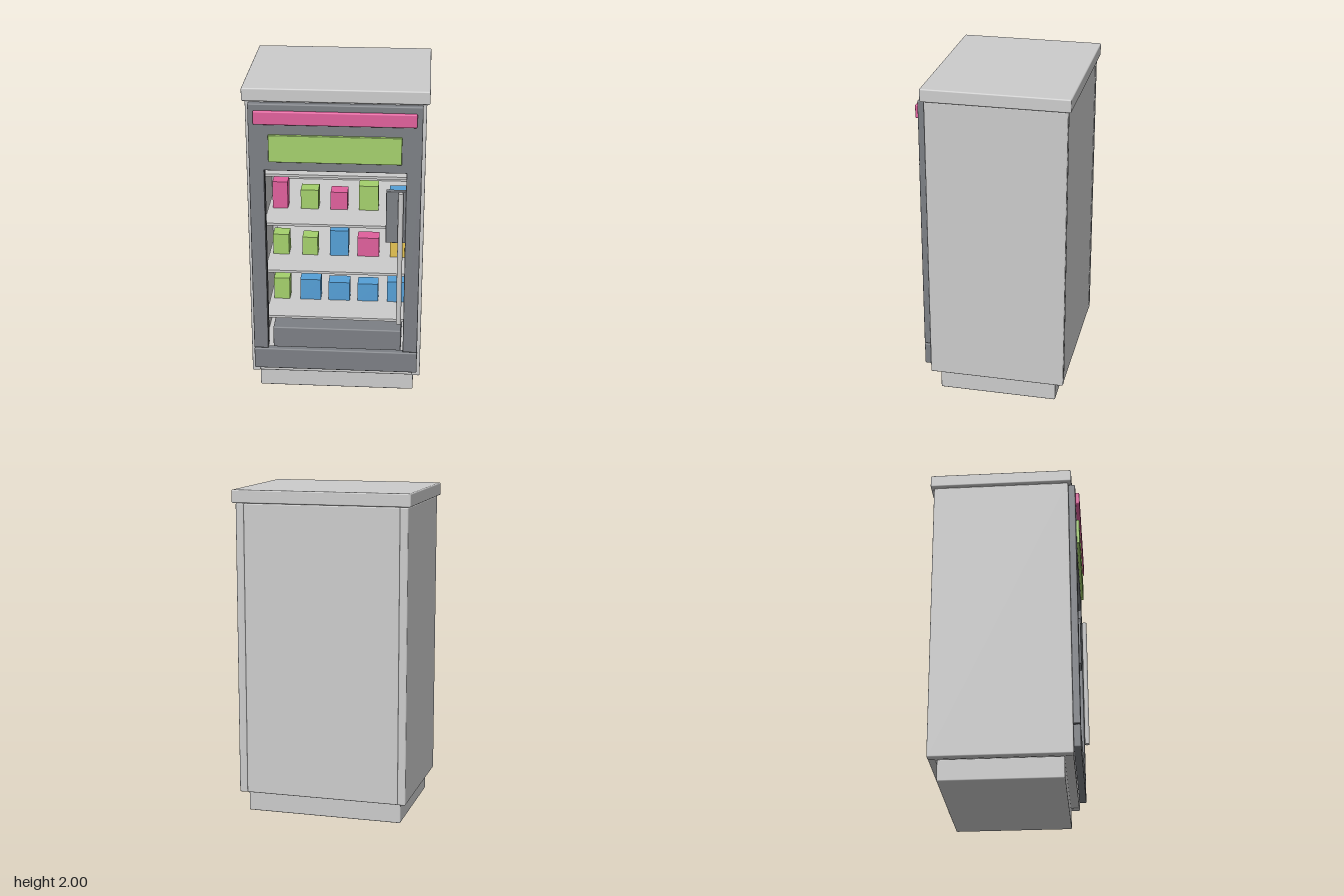
import * as THREE from 'three';
import { RoundedBoxGeometry } from 'three/addons/geometries/RoundedBoxGeometry.js';

const material = (color) => new THREE.MeshStandardMaterial({ color });
const mats = {
  grey: material(0xcccccc),
  dark: material(0x7c7f84),
  pink: material(0xe0609c),
  green: material(0xa4d06c),
  blue: material(0x559fd6),
  yellow: material(0xe6c452),
};

// Box given by its extents on each axis; a bevel above zero rounds the edges.
function block(parent, name, mat, [x0, x1], [y0, y1], [z0, z1], bevel = 0) {
  const size = [x1 - x0, y1 - y0, z1 - z0];
  const geometry = bevel
    ? new RoundedBoxGeometry(...size, 2, bevel)
    : new THREE.BoxGeometry(...size);
  const mesh = new THREE.Mesh(geometry, mats[mat]);
  mesh.name = name;
  mesh.position.set((x0 + x1) / 2, (y0 + y1) / 2, (z0 + z1) / 2);
  parent.add(mesh);
  return mesh;
}

function subgroup(parent, name) {
  const group = new THREE.Group();
  group.name = name;
  parent.add(group);
  return group;
}

export function createModel() {
  const model = new THREE.Group();
  model.name = 'displayFridge';
  const B = 0.008;

  // Cabinet shell
  const cabinet = subgroup(model, 'cabinet');
  block(cabinet, 'plinth', 'grey', [-0.483, 0.483], [0, 0.132], [-0.39, 0.34], B);
  block(cabinet, 'top', 'grey', [-0.543, 0.543], [1.921, 2], [-0.465, 0.412], B);
  block(cabinet, 'rightSide', 'grey', [-0.525, -0.475], [0.132, 1.919], [-0.445, 0.393], B);
  block(cabinet, 'leftSide', 'grey', [0.475, 0.525], [0.132, 1.919], [-0.445, 0.393], B);
  block(cabinet, 'back', 'grey', [-0.477, 0.477], [0.132, 1.919], [-0.443, -0.4], B);
  block(cabinet, 'floor', 'grey', [-0.477, 0.477], [0.134, 0.18], [-0.41, 0.39], B);
  block(cabinet, 'ceiling', 'grey', [-0.477, 0.477], [1.87, 1.921], [-0.41, 0.39]);
  block(cabinet, 'coolingUnit', 'dark', [-0.4, 0.4], [0.18, 0.4], [-0.39, 0.31], B);

  // Front frame around the opening
  const front = subgroup(model, 'frontFrame');
  const Z = [0.391, 0.435];
  block(front, 'kickPanel', 'dark', [-0.505, 0.505], [0.176, 0.315], Z, B);
  block(front, 'header', 'dark', [-0.505, 0.505], [1.505, 1.915], Z, B);
  for (const side of [-1, 1]) {
    const span = (a, b) => [Math.min(side * a, side * b), Math.max(side * a, side * b)];
    block(front, 'stile', 'dark', span(0.416, 0.505), [0.32, 1.53], Z, 0.005);
    block(front, 'stileLiner', 'dark', span(0.418, 0.474), [0.32, 1.53], [0.355, 0.4]);
  }
  block(front, 'lightBar', 'pink', [-0.473, 0.473], [1.795, 1.877], [0.434, 0.459], B);
  block(front, 'signPanel', 'green', [-0.388, 0.388], [1.565, 1.73], [0.43, 0.453], 0.004);

  // Handle bar and its backing plate
  block(front, 'handlePlate', 'dark', [0.3, 0.418], [1.06, 1.39], [0.395, 0.43], 0.004);
  const handle = new THREE.Mesh(new THREE.CylinderGeometry(0.0155, 0.0155, 0.86, 12), mats.grey);
  handle.name = 'handle';
  handle.position.set(0.387, 0.96, 0.452);
  front.add(handle);

  // Shelves with goods: [colour, width, height] from right to left
  const rows = [
    [0.49, [['green', 0.1, 0.145], ['blue', 0.13, 0.14], ['blue', 0.135, 0.125], ['blue', 0.13, 0.12], ['blue', 0.12, 0.14]]],
    [0.805, [['green', 0.1, 0.135], ['green', 0.096, 0.12], ['blue', 0.115, 0.17], ['pink', 0.135, 0.125], ['yellow', 0.092, 0.14]]],
    [1.12, [['pink', 0.094, 0.175], ['green', 0.11, 0.125], ['pink', 0.105, 0.115], ['green', 0.12, 0.16], ['blue', 0.11, 0.13]]],
    [1.44, [['green', 0.11, 0.14], ['blue', 0.125, 0.15], ['blue', 0.135, 0.13], ['blue', 0.11, 0.15], ['pink', 0.125, 0.14]]],
  ];
  const shelves = subgroup(model, 'shelves');
  for (const [y, goods] of rows) {
    block(shelves, 'shelf', 'grey', [-0.44, 0.44], [y - 0.016, y], [-0.4, 0.325]);
    goods.forEach(([color, w, h], i) => {
      const x = (i - 2) * 0.1825;
      block(shelves, 'package', color, [x - w / 2, x + w / 2], [y, y + h], [-0.01, 0.09]);
    });
  }
  return model;
}
